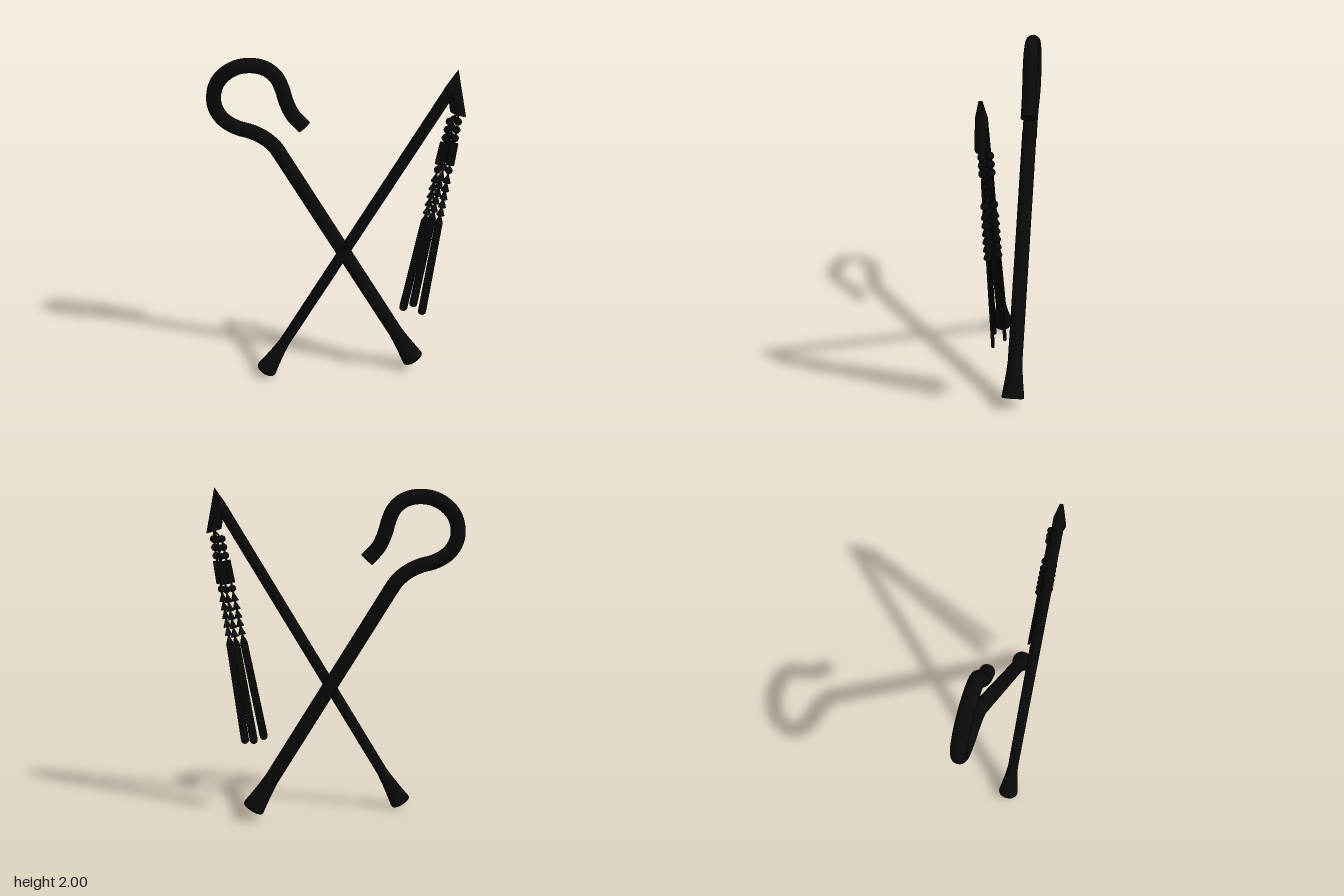
import * as THREE from 'three';
import { ConvexGeometry } from 'three/addons/geometries/ConvexGeometry.js';

const material = new THREE.MeshStandardMaterial({ color: 0x0a0a0a, side: THREE.DoubleSide });
const V = (x, y, z) => new THREE.Vector3(x, y, z);
const UP = V(0, 1, 0);

function add(parent, name, geometry, x = 0, y = 0, z = 0) {
  const mesh = new THREE.Mesh(geometry, material);
  mesh.name = name;
  mesh.position.set(x, y, z);
  parent.add(mesh);
  return mesh;
}

// Straight staff from a to b with a flared, flat foot
function staff(parent, name, a, b, rFoot, r, flare) {
  const dir = b.clone().sub(a);
  const len = dir.length();
  const profile = [
    [0, 0], [rFoot * 0.97, 0], [rFoot, 0.01], [r + (rFoot - r) * 0.6, flare * 0.35],
    [r + (rFoot - r) * 0.22, flare * 0.7], [r, flare], [r, len], [0, len],
  ].map(([x, y]) => new THREE.Vector2(x, y));
  const mesh = add(parent, name, new THREE.LatheGeometry(profile, 24), a.x, a.y, a.z);
  mesh.quaternion.setFromUnitVectors(UP, dir.normalize());
}

function createCrook() {
  const crook = new THREE.Group();
  crook.name = 'crook';
  const r = 0.044;
  staff(crook, 'crookStaff', V(0.5, 0.07, -0.066), V(-0.347, 1.447, -0.092), 0.068, r, 0.22);

  // Curved hook ending in a turned-out tip
  const path = [
    [-0.33, 1.42], [-0.36, 1.463], [-0.416, 1.513], [-0.495, 1.553], [-0.585, 1.578],
    [-0.665, 1.627], [-0.71, 1.7], [-0.715, 1.775], [-0.693, 1.845], [-0.644, 1.902],
    [-0.57, 1.943], [-0.485, 1.955], [-0.405, 1.938], [-0.342, 1.887], [-0.31, 1.818],
    [-0.289, 1.744], [-0.252, 1.665], [-0.183, 1.59],
  ].map(([x, y]) => V(x, y, -0.094));
  const curve = new THREE.CatmullRomCurve3(path);
  add(crook, 'crookHook', new THREE.TubeGeometry(curve, 60, r, 20));
  const end = curve.getPoint(1);
  const cap = add(crook, 'hookEnd', new THREE.CircleGeometry(r, 20), end.x, end.y, end.z);
  cap.quaternion.setFromUnitVectors(V(0, 0, 1), curve.getTangent(1));
  return crook;
}

// Beaded strand hanging from top to bottom
function createStrand(name, top, bottom, hook) {
  const strand = new THREE.Group();
  strand.name = name;
  const dir = top.clone().sub(bottom);
  const len = dir.length();
  const hang = new THREE.Group();
  hang.name = 'strandBody';
  hang.position.copy(top);
  hang.quaternion.setFromUnitVectors(UP, dir.normalize());
  strand.add(hang);

  const link = new THREE.LineCurve3(hook, top);
  add(strand, 'link', new THREE.TubeGeometry(link, 1, 0.005, 6));
  add(hang, 'cord', new THREE.CylinderGeometry(0.006, 0.006, 0.66, 8), 0, -0.33, 0);
  for (const d of [0, 0.05, 0.1, 0.3]) {
    add(hang, 'bead', new THREE.SphereGeometry(0.022, 14, 10), 0, -d, 0);
  }
  add(hang, 'plate', new THREE.BoxGeometry(0.048, 0.137, 0.016), 0, -0.198, 0);
  for (let i = 0; i < 6; i++) {
    add(hang, 'coneBead', new THREE.CylinderGeometry(0.006, 0.024, 0.047, 14), 0, -0.352 - i * 0.052, 0);
  }

  // Flat tail with a rounded end
  const shape = new THREE.Shape();
  shape.moveTo(-0.022, -0.635);
  shape.lineTo(-0.024, -len);
  shape.absarc(0, -len, 0.024, Math.PI, Math.PI * 2, false);
  shape.lineTo(0.022, -0.635);
  shape.closePath();
  const tail = new THREE.ExtrudeGeometry(shape, { depth: 0.014, bevelEnabled: false, curveSegments: 10 });
  add(hang, 'tail', tail, 0, 0, -0.007);
  return strand;
}

function createFlail() {
  const flail = new THREE.Group();
  flail.name = 'flail';
  const z = 0.083;
  const r = 0.033;
  const top = V(0.665, 1.897, z);
  staff(flail, 'flailStaff', V(-0.424, 0.035, z), top, 0.063, r, 0.24);

  // Pointed head folding over from the staff to an angled oval base
  const points = [V(0.697, 2, z + 0.01), V(0.697, 2, z - 0.01)];
  for (let i = 0; i < 20; i++) {
    const a = (i / 20) * Math.PI * 2;
    const c = Math.cos(a);
    const s = Math.sin(a);
    points.push(V(top.x + 0.863 * r * c, top.y - 0.505 * r * c, z + r * s));
    points.push(V(0.705 + 0.045 * c, 1.747 - 0.0135 * c, z + r * s));
  }
  add(flail, 'flailHead', new ConvexGeometry(points));

  // Three hanging strands
  const hook = V(0.705, 1.755, 0.07);
  flail.add(
    createStrand('rightStrand', V(0.66, 1.7, 0.08), V(0.43, 0.495, 0.046), hook),
    createStrand('backStrand', V(0.685, 1.7, 0.038), V(0.491, 0.49, -0.018), hook),
    createStrand('leftStrand', V(0.708, 1.7, 0.08), V(0.545, 0.472, 0.046), hook),
  );
  return flail;
}

export function createModel() {
  const model = new THREE.Group();
  model.name = 'crookAndFlail';
  model.add(createCrook(), createFlail());
  return model;
}
